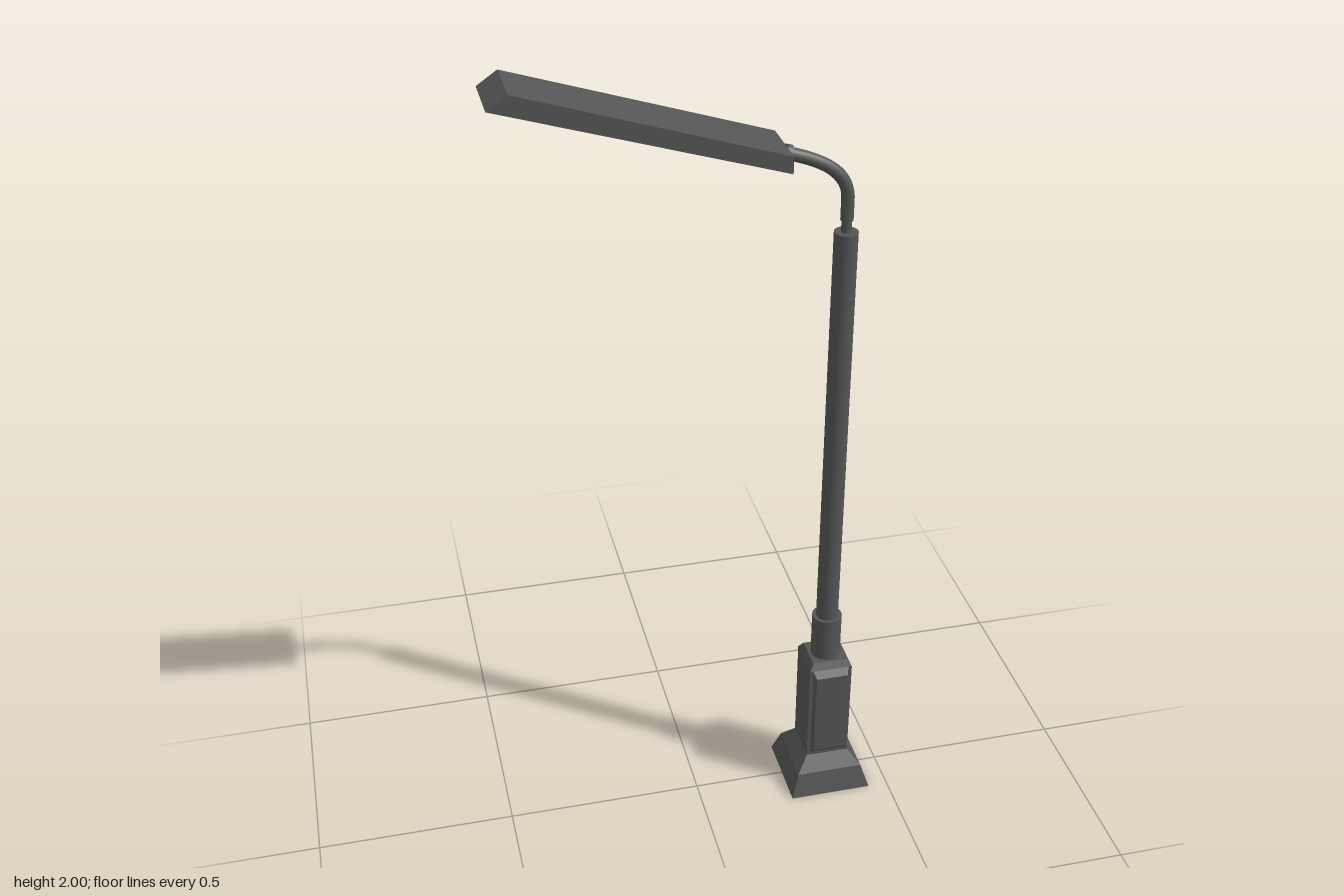
import * as THREE from 'three';

const AXIS = 0.343; // x of the post
const metal = new THREE.MeshStandardMaterial({ color: 0x555555 });
const metalFlat = new THREE.MeshStandardMaterial({ color: 0x555555, flatShading: true });

function add(parent, name, geometry, material) {
  const mesh = new THREE.Mesh(geometry, material);
  mesh.name = name;
  parent.add(mesh);
  return mesh;
}

// Square turned solid from [half width, height] pairs
function squareSolid(profile) {
  const points = profile.map(([r, y]) => new THREE.Vector2(r * Math.SQRT2, y));
  return new THREE.LatheGeometry(points, 4, Math.PI / 4);
}

function pipe(parent, name, radius, y0, y1) {
  const mesh = add(parent, name, new THREE.CylinderGeometry(radius, radius, y1 - y0, 24), metal);
  mesh.position.set(AXIS, (y0 + y1) / 2, 0);
}

// Maps unit coordinates (x along the lamp, y from underside to top) onto the tilted lamp profile
function fitToLamp(geometry) {
  const p = geometry.attributes.position;
  const mix = THREE.MathUtils.lerp;
  for (let i = 0; i < p.count; i++) {
    const u = p.getX(i), v = p.getY(i);
    const x = mix(mix(-0.452, 0.195, u), mix(-0.405, 0.195, u), v);
    const y = mix(mix(1.968, 1.772, u), mix(2.0, 1.812, u), v);
    p.setXYZ(i, x, y, p.getZ(i) - 0.006);
  }
  geometry.computeVertexNormals();
  return geometry;
}

function lampBlock(u0, u1, v0, v1, z0, z1) {
  const g = new THREE.BoxGeometry(u1 - u0, v1 - v0, z1 - z0);
  g.translate((u0 + u1) / 2, (v0 + v1) / 2, (z0 + z1) / 2);
  return fitToLamp(g);
}

function rectangle(PathType, x0, x1, y0, y1) {
  return new PathType([[x0, y0], [x1, y0], [x1, y1], [x0, y1]].map(([x, y]) => new THREE.Vector2(x, y)));
}

export function createModel() {
  const model = new THREE.Group();
  model.name = 'streetLamp';

  // Flared foot and square pedestal
  const foot = add(model, 'foot', squareSolid([[0, 0], [0.106, 0], [0.086, 0.062], [0.056, 0.1], [0, 0.1]]), metalFlat);
  const pedestal = add(model, 'pedestal',
    squareSolid([[0, 0.1], [0.056, 0.1], [0.056, 0.382], [0.045, 0.4], [0, 0.4]]), metalFlat);
  foot.position.x = pedestal.position.x = AXIS;

  // Raised bevelled panels on the front and back of the pedestal
  for (const side of [1, -1]) {
    const g = squareSolid([[1, 0], [0.88, 0.014], [0, 0.014]]);
    g.rotateX(Math.PI / 2);
    g.scale(0.047, 0.136, 1);
    const panel = add(model, side > 0 ? 'frontPanel' : 'backPanel', g, metalFlat);
    panel.position.set(AXIS, 0.246, side * 0.056);
    if (side < 0) panel.rotation.y = Math.PI;
  }

  // Post
  pipe(model, 'postCollar', 0.038, 0.4, 0.52);
  pipe(model, 'post', 0.028, 0.52, 1.592);
  pipe(model, 'armSpigot', 0.012, 1.592, 1.63);

  // Curved arm with a ring where it meets the lamp
  const bend = new THREE.CurvePath();
  const at = (x, y) => new THREE.Vector3(x, y, 0);
  bend.add(new THREE.LineCurve3(at(AXIS, 1.62), at(AXIS, 1.67)));
  bend.add(new THREE.CubicBezierCurve3(at(AXIS, 1.67), at(AXIS, 1.735), at(0.285, 1.768), at(0.195, 1.793)));
  add(model, 'arm', new THREE.TubeGeometry(bend, 32, 0.015, 16), metal);
  const cap = add(model, 'armLowerCap', new THREE.CylinderGeometry(0.015, 0.015, 0.004, 16), metal);
  cap.position.set(AXIS, 1.622, 0);
  const ring = add(model, 'armRing', new THREE.CylinderGeometry(0.02, 0.02, 0.014, 20), metal);
  ring.position.set(0.201, 1.791, 0);
  ring.rotation.z = Math.PI / 2 - 0.27;

  // Lamp head: solid roof, open rim underneath and lengthwise light strips
  const head = new THREE.Group();
  head.name = 'lampHead';
  model.add(head);
  add(head, 'lampRoof', lampBlock(0, 1, 0.55, 1, -0.076, 0.076), metalFlat);

  const rimShape = rectangle(THREE.Shape, 0, 1, -0.076, 0.076);
  rimShape.holes.push(rectangle(THREE.Path, 0.02, 0.98, -0.066, 0.066));
  const rim = new THREE.ExtrudeGeometry(rimShape, { depth: 0.55, bevelEnabled: false });
  rim.rotateX(-Math.PI / 2);
  add(head, 'lampRim', fitToLamp(rim), metalFlat);

  for (const z of [-0.042, 0, 0.042]) {
    add(head, 'lightStrip', lampBlock(0.04, 0.96, 0.2, 0.56, z - 0.014, z + 0.014), metalFlat);
  }
  return model;
}
